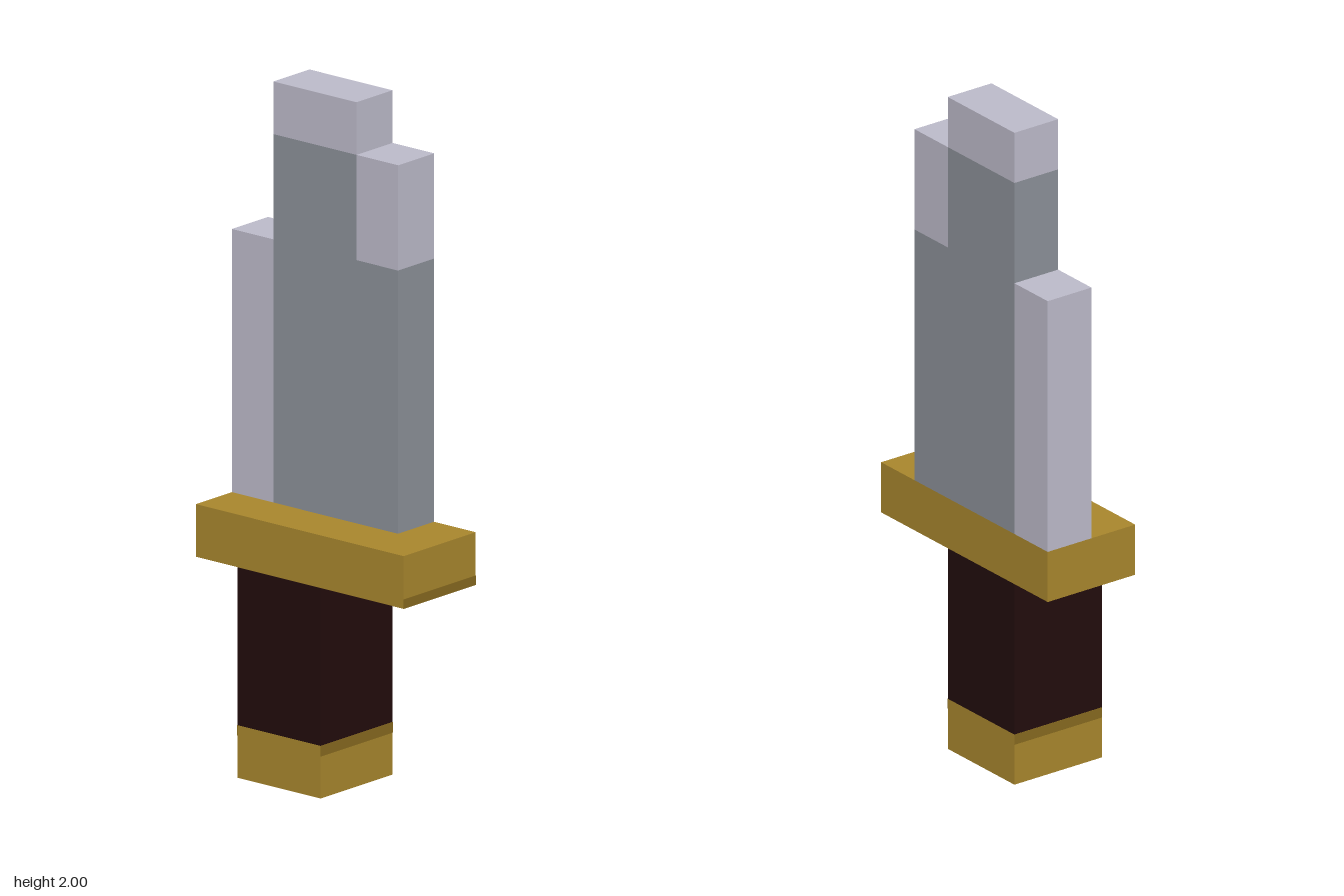
import * as THREE from 'three';

// one block of the 13-block-tall grid
const U = 2 / 13;

export function createModel() {
  const model = new THREE.Group();
  model.name = 'blockDagger';

  const mat = (name, color) => {
    const m = new THREE.MeshStandardMaterial({ color });
    m.name = name;
    return m;
  };
  const gold = mat('gold', 0xa8862d);
  const darkGold = mat('darkGold', 0x86691f);
  const grip = mat('darkLeather', 0x220c0c);
  const edge = mat('paleSteel', 0xbcbac9);
  const steel = mat('greySteel', 0x8b9098);

  // box between two corners given in block units
  const block = (name, material, [x0, y0, z0], [x1, y1, z1]) => {
    const geo = new THREE.BoxGeometry((x1 - x0) * U, (y1 - y0) * U, (z1 - z0) * U);
    const mesh = new THREE.Mesh(geo, material);
    mesh.name = name;
    mesh.position.set((x0 + x1) / 2 * U, (y0 + y1) / 2 * U, (z0 + z1) / 2 * U);
    model.add(mesh);
  };

  // handle
  block('pommel', gold, [-1.5, 0, -1], [0.5, 1, 1]);
  block('grip', grip, [-1.5, 1, -1], [0.5, 4, 1]);
  block('guard', gold, [-2.5, 4, -1], [2.5, 5, 1]);

  // thin dark bands on the side faces
  const t = 0.01;
  block('pommelBandLeft', darkGold, [0.5, 0.8, -1], [0.5 + t, 1, 1]);
  block('pommelBandRight', darkGold, [-1.5 - t, 0.8, -1], [-1.5, 1, 1]);
  block('guardBand', darkGold, [2.5, 4, -1], [2.5 + t, 4.18, 1]);

  // blade: stepped grey core with pale edge and tips
  block('bladeEdge', edge, [-2.5, 5, -1], [-1.5, 10, 0]);
  block('bladeCore', steel, [-1.5, 5, -1], [0.5, 12, 0]);
  block('bladeTip', edge, [-1.5, 12, -1], [0.5, 13, 0]);
  block('bladeSpine', steel, [0.5, 5, -1], [1.5, 10, 0]);
  block('spineTip', edge, [0.5, 10, -1], [1.5, 12, 0]);

  return model;
}
